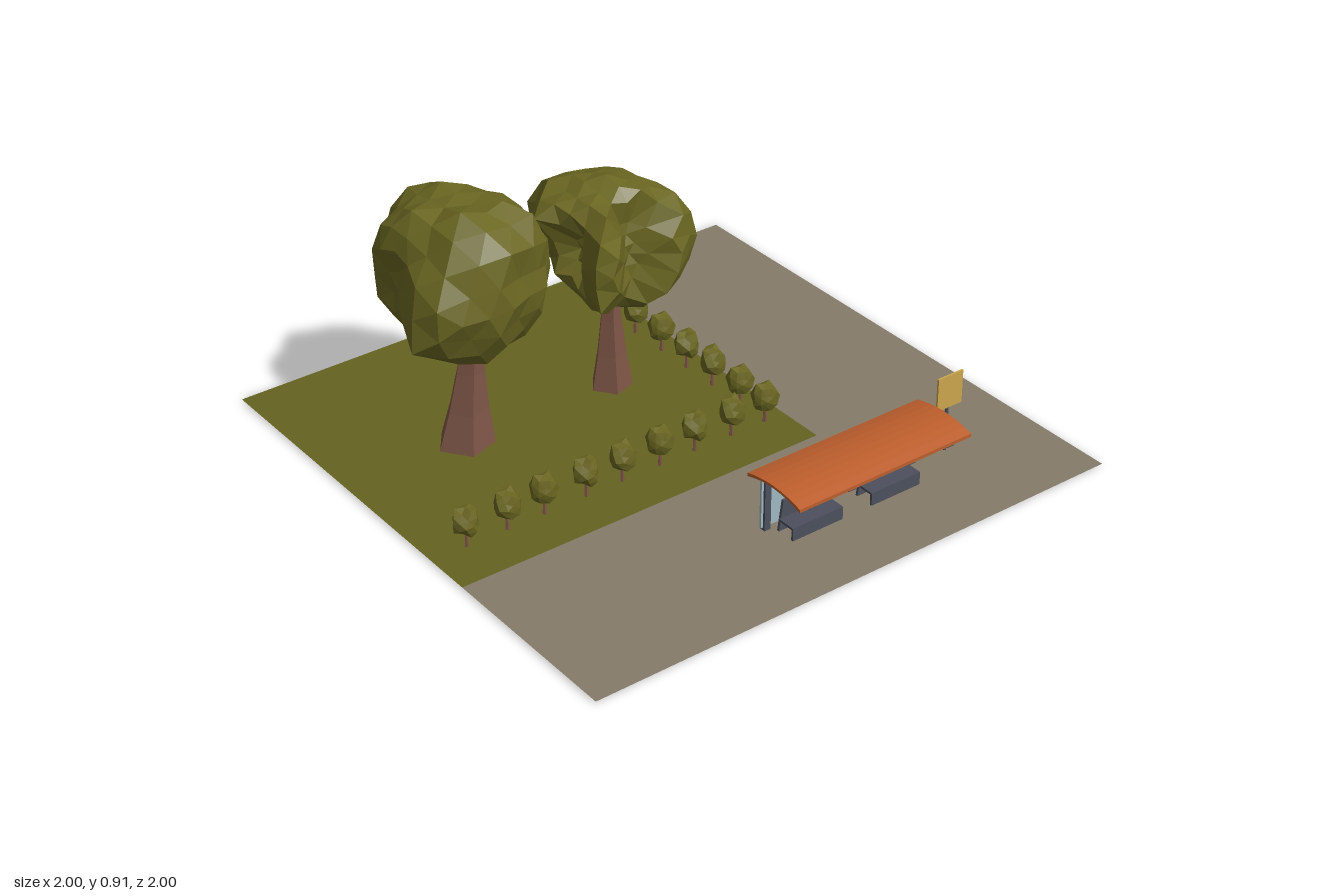
import * as THREE from 'three';

const mat = (name, color) => Object.assign(new THREE.MeshStandardMaterial({ color }), { name });
const V = (p) => new THREE.Vector3(...p);

export function createModel() {
  const root = new THREE.Group();
  root.name = 'parkBusStop';
  const paving = mat('paving', 0x857b6a);
  const grass = mat('grass', 0x656220);
  const foliage = mat('foliage', 0x6b6722);
  const bark = mat('bark', 0x7d5546);
  const orange = mat('roofOrange', 0xbe5f2d);
  const steel = mat('darkSteel', 0x4c505d);
  const glass = mat('glass', 0xa0b8c0);
  const yellow = mat('signYellow', 0xcca64d);
  paving.side = grass.side = THREE.DoubleSide;

  const add = (parent, name, geo, m, x = 0, y = 0, z = 0) => {
    const mesh = new THREE.Mesh(geo, m);
    mesh.name = name;
    mesh.position.set(x, y, z);
    parent.add(mesh);
    return mesh;
  };
  // box given by its min and max corners
  const block = (parent, name, m, x0, x1, y0, y1, z0, z1) =>
    add(parent, name, new THREE.BoxGeometry(x1 - x0, y1 - y0, z1 - z0), m, (x0 + x1) / 2, (y0 + y1) / 2, (z0 + z1) / 2);
  const group = (name) => {
    const g = new THREE.Group();
    g.name = name;
    root.add(g);
    return g;
  };

  // flat ground: L-shaped paving around the lawn (shape y is -z)
  const flat = (name, pts, m) => {
    const geo = new THREE.ShapeGeometry(new THREE.Shape(pts.map(([x, z]) => new THREE.Vector2(x, -z))));
    geo.rotateX(-Math.PI / 2);
    add(root, name, geo, m, 0, 0.008, 0);
  };
  flat('paving', [[-1, -0.38], [0.32, -0.38], [0.32, 1], [1, 1], [1, -1], [-1, -1]], paving);
  flat('lawn', [[-1, 1], [0.32, 1], [0.32, -0.38], [-1, -0.38]], grass);

  // faceted crown whose radius blends between lobe points
  const crownGeo = (lobes, detail, rough, seed) => {
    const geo = new THREE.IcosahedronGeometry(1, detail);
    const pos = geo.attributes.position;
    const dirs = lobes.map((p) => ({ d: V(p).normalize(), r: V(p).length() }));
    const n = new THREE.Vector3();
    for (let i = 0; i < pos.count; i++) {
      n.fromBufferAttribute(pos, i).normalize();
      let sum = 0, weight = 0;
      for (const { d, r } of dirs) {
        const w = Math.exp(16 * (n.dot(d) - 1));
        sum += w * r;
        weight += w;
      }
      const bump = Math.sin(7 * n.x + seed) * Math.sin(8 * n.y + 2 * seed) + Math.sin(9 * n.z + 3 * seed + 4 * n.x);
      n.multiplyScalar((sum / weight) * (1 + rough * bump));
      pos.setXYZ(i, n.x, n.y, n.z);
    }
    geo.computeVertexNormals();
    return geo;
  };

  // five-sided trunk with a flared foot, leaning a little
  const trunkGeo = (foot, top, h, leanX, leanZ) => {
    let geo = new THREE.CylinderGeometry(1, 1, 1, 5, 3).toNonIndexed();
    const pos = geo.attributes.position;
    for (let i = 0; i < pos.count; i++) {
      const t = pos.getY(i) + 0.5;
      const r = top + (foot - top) * (1 - t) ** 1.7;
      pos.setXYZ(i, pos.getX(i) * r + leanX * t, t * h, pos.getZ(i) * r + leanZ * t);
    }
    geo.computeVertexNormals();
    return geo;
  };

  // two large trees
  const bigTree = group('largeTree');
  add(bigTree, 'trunk', trunkGeo(0.1, 0.04, 0.42, 0.02, -0.03), bark, -0.34, 0, 0.55);
  add(bigTree, 'crown', crownGeo([
    [0.23, -0.06, 0.32], [-0.02, 0.27, -0.04], [0, 0.19, 0.22], [0, 0.14, -0.23], [0.05, 0, -0.29],
    [0, -0.17, -0.22], [0.05, -0.28, -0.05], [0, -0.2, 0.14], [0.28, 0.22, 0], [0.27, 0, -0.08],
    [0.26, -0.14, 0.1], [-0.29, 0.08, 0.05], [-0.22, 0.18, 0], [-0.22, -0.17, 0],
    [-0.24, 0, -0.19], [-0.12, 0, -0.16], [-0.18, 0, 0.19], [0.03, 0, 0.21]], 3, 0.045, 1), foliage, -0.38, 0.62, 0.52);
  const midTree = group('mediumTree');
  add(midTree, 'trunk', trunkGeo(0.075, 0.03, 0.4, 0, 0), bark, -0.34, 0, -0.035);
  add(midTree, 'crown', crownGeo([
    [-0.28, 0.06, 0.04], [-0.14, 0.15, 0.19], [-0.15, 0, -0.15], [0.1, -0.02, -0.25], [0.21, -0.03, -0.21],
    [0.12, 0, 0], [0.21, 0, 0.21], [0.02, 0, 0.1], [-0.06, 0.2, 0.08], [-0.06, 0.2, -0.1],
    [0.14, -0.15, -0.15], [0, -0.22, 0.02], [-0.1, -0.08, 0.15], [-0.2, -0.1, 0]], 3, 0.045, 2.5), foliage, -0.36, 0.55, -0.04);

  // small shrubs lining two edges of the lawn
  const shrubs = group('shrubs');
  const shrubCrown = crownGeo([[0.05, 0, 0], [-0.036, 0.02, 0.02], [0, 0.05, 0.01], [0.01, -0.045, 0], [0, 0.01, 0.046], [0.01, 0, -0.04]], 1, 0.1, 4);
  const shrubStem = trunkGeo(0.008, 0.005, 0.075, 0, 0);
  const spots = [0.87, 0.72, 0.58, 0.42, 0.28, 0.13, -0.01, -0.16, -0.3].map((z) => [0.15, z])
    .concat([-0.7, -0.56, -0.41, -0.27, -0.13, 0.02].map((x) => [x, -0.3]));
  spots.forEach(([x, z], i) => {
    add(shrubs, 'shrubStem', shrubStem, bark, x, 0.003, z);
    add(shrubs, 'shrubCrown', shrubCrown, foliage, x, 0.102, z).rotation.y = i * 2.1;
  });

  // shelter: arched roof, cantilever frames, glass back wall
  const shelter = group('shelter');
  const arch = [];
  for (let i = 0; i <= 8; i++) arch.push([0.61 + 0.25 * i / 8, 0.022 * (1 - (i / 4 - 1) ** 2)]);
  const roofShape = new THREE.Shape([
    ...arch.map(([x, y]) => new THREE.Vector2(x, 0.217 + y)),
    ...arch.reverse().map(([x, y]) => new THREE.Vector2(x, 0.229 + y * 0.85)),
  ]);
  add(shelter, 'roof', new THREE.ExtrudeGeometry(roofShape, { depth: 0.69, bevelEnabled: false }), orange, 0, 0, -0.545);
  for (const z of [0.085, -0.07, -0.31, -0.47]) {
    block(shelter, 'post', steel, 0.617, 0.64, 0.008, 0.222, z - 0.012, z + 0.012);
    block(shelter, 'roofBeam', steel, 0.617, 0.85, 0.205, 0.22, z - 0.014, z + 0.014);
  }
  block(shelter, 'glassWall', glass, 0.624, 0.632, 0.018, 0.218, -0.5, 0.105);

  // benches: tapered back, seat and front panel
  const benches = group('benches');
  for (const z of [-0.035, -0.353]) {
    const back = new THREE.Shape([[-0.1, 0.012], [0.1, 0.012], [0.085, 0.12], [-0.085, 0.12]].map((p) => new THREE.Vector2(...p)));
    const geo = new THREE.ExtrudeGeometry(back, { depth: 0.009, bevelEnabled: false });
    geo.rotateY(Math.PI / 2);
    add(benches, 'benchBack', geo, steel, 0.662, 0, z);
    block(benches, 'benchSeat', steel, 0.668, 0.738, 0.05, 0.058, z - 0.1, z + 0.1);
    block(benches, 'benchFront', steel, 0.73, 0.738, 0.012, 0.05, z - 0.1, z + 0.1);
  }

  // stop sign board on a pole
  const sign = group('stopSign');
  add(sign, 'signPole', new THREE.CylinderGeometry(0.006, 0.006, 0.2, 8), steel, 0.632, 0.108, -0.655);
  block(sign, 'signBoard', yellow, 0.636, 0.643, 0.175, 0.295, -0.707, -0.603);
  return root;
}
